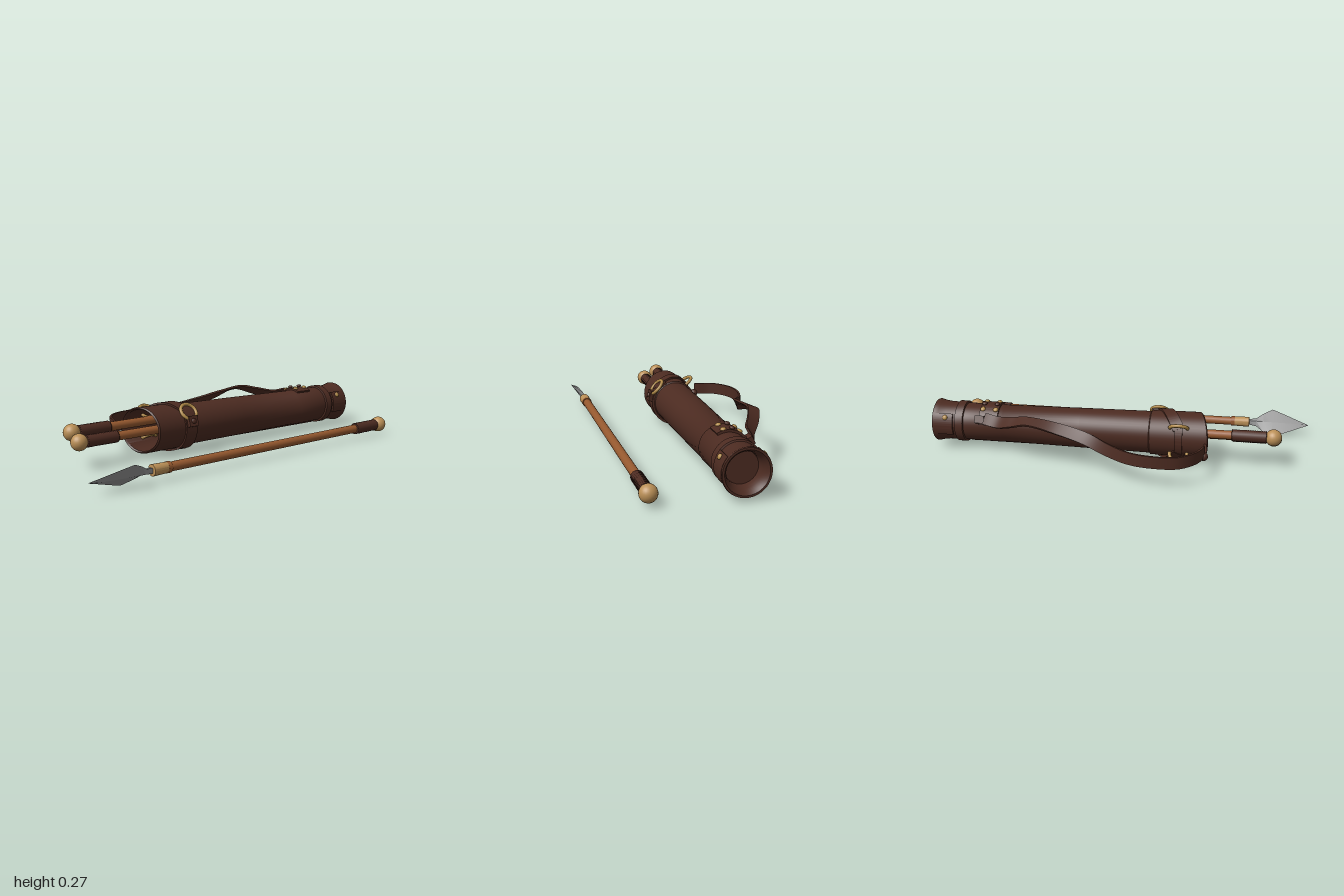
import * as THREE from 'three';
import { toCreasedNormals } from 'three/addons/utils/BufferGeometryUtils.js';

const mat = (name, color, side = THREE.FrontSide) => {
  const m = new THREE.MeshStandardMaterial({ color, side });
  m.name = name;
  return m;
};

export function createModel() {
  const model = new THREE.Group();
  const leather = mat('dark leather', 0x4c2b21, THREE.DoubleSide);
  const wood = mat('shaft wood', 0x96592f);
  const tan = mat('pale wood', 0xba8f56);
  const brass = mat('brass', 0xb18a48);
  const steel = mat('steel', 0x969696, THREE.DoubleSide);
  const V = (x, y, z) => new THREE.Vector3(x, y, z);

  const add = (parent, name, geo, material) => {
    const m = new THREE.Mesh(geo, material);
    m.name = name;
    parent.add(m);
    return m;
  };

  // Turned solid along x from [x, radius] pairs
  const turned = (pts, seg = 32) => new THREE.LatheGeometry(
    pts.map(([x, r]) => new THREE.Vector2(r, x)), seg).rotateZ(-Math.PI / 2);

  // Flat band with a rectangular section; frame(t) gives centre and width direction
  const ribbon = (frame, w, t, n = 40) => {
    const pos = [], idx = [];
    for (let i = 0; i <= n; i++) {
      const { p, side } = frame(i / n);
      const a = frame(Math.max(0, i / n - 0.01)).p, b = frame(Math.min(1, i / n + 0.01)).p;
      const tan3 = b.clone().sub(a).normalize();
      const s = side.clone().addScaledVector(tan3, -side.dot(tan3)).normalize();
      const up = tan3.clone().cross(s);
      for (const [u, v] of [[-1, -1], [1, -1], [1, 1], [-1, 1]]) {
        const q = p.clone().addScaledVector(s, u * w / 2).addScaledVector(up, v * t / 2);
        pos.push(q.x, q.y, q.z);
      }
      if (i < n) for (let k = 0; k < 4; k++) {
        const c = i * 4 + k, d = i * 4 + (k + 1) % 4;
        idx.push(c, d, c + 4, d, d + 4, c + 4);
      }
    }
    const e = n * 4;
    idx.push(0, 2, 1, 0, 3, 2, e, e + 1, e + 2, e, e + 2, e + 3);
    const g = new THREE.BufferGeometry();
    g.setAttribute('position', new THREE.Float32BufferAttribute(pos, 3));
    g.setIndex(idx);
    return toCreasedNormals(g, 0.7);
  };

  // ---- Quiver, axis along x ----
  const quiver = new THREE.Group();
  quiver.name = 'quiver';
  quiver.position.set(0, 0.141, -0.047);
  quiver.rotation.set(0, -0.008, -0.005);
  model.add(quiver);

  // Hollow tube with slanted mouth, cuff, foot band and flared foot
  const tube = turned([
    [0.9, 0], [0.9, 0.085], [-0.3, 0.102], [-0.43, 0.107],
    [-0.437, 0.113], [-0.43, 0.119], [-0.415, 0.118], [-0.17, 0.116], [-0.165, 0.109],
    [0.2, 0.105], [0.62, 0.099], [0.625, 0.102], [0.83, 0.099], [0.832, 0.109], [0.875, 0.109],
    [0.878, 0.101], [0.93, 0.102], [0.97, 0.108], [0.99, 0.114], [0.998, 0.112], [0.998, 0.102],
    [0.985, 0.092], [0.96, 0.083], [0.94, 0.079], [0.92, 0.078], [0.92, 0]], 48);
  const tp = tube.attributes.position;
  for (let i = 0; i < tp.count; i++) {
    const x = tp.getX(i);
    if (x < -0.38) tp.setX(i, x + tp.getZ(i) * 0.3);
  }
  add(quiver, 'quiverBody', toCreasedNormals(tube, 0.6), leather);

  // Bands wrapped on the tube; angle 0 is the top, positive toward the front
  const wrap = (name, xAt, r, a0, a1, w, t = 0.01) => add(quiver, name, ribbon(u => {
    const a = a0 + (a1 - a0) * u;
    return { p: V(xAt(u), r * Math.cos(a), r * Math.sin(a)), side: V(1, 0, 0) };
  }, w, t), leather);
  const onTube = (mesh, x, r, a) => {
    mesh.position.set(x, r * Math.cos(a), r * Math.sin(a));
    mesh.rotation.x = a;
    return mesh;
  };
  wrap('cuffBand', () => -0.2, 0.12, 0.4, 2.9, 0.07, 0.012);
  wrap('upperDiagonalStrap', u => -0.32 + 0.12 * u, 0.122, -1.0, 0.9, 0.06);
  wrap('lowerDiagonalStrap', u => -0.32 + 0.12 * u, 0.122, -2.15, -3.6, 0.06);
  wrap('backLoopBand', () => -0.32, 0.12, -2.2, -0.9, 0.04);
  wrap('strapAnchor', () => 0.69, 0.105, 0.5, -1.35, 0.1, 0.014);
  wrap('footFlap', () => 0.935, 0.109, 0.85, 1.95, 0.1, 0.01);
  wrap('footBackFlap', () => 0.935, 0.109, -1.95, -0.9, 0.1, 0.01);

  // Raised seam along the underside
  add(quiver, 'seam', new THREE.BoxGeometry(0.98, 0.012, 0.02), leather).position.set(0.33, -0.101, 0);

  // Front buckle: flat ring, keeper tab and stud
  const ring = new THREE.TorusGeometry(0.045, 0.009, 10, 32);
  const flatRing = ring.clone().rotateX(Math.PI / 2);
  onTube(add(quiver, 'frontRing', flatRing, brass), -0.2, 0.127, 0.85);
  onTube(add(quiver, 'frontKeeper', new THREE.BoxGeometry(0.055, 0.022, 0.055), leather), -0.2, 0.134, 1.28);
  const stud = new THREE.SphereGeometry(0.014, 16, 8).scale(1, 0.6, 1);
  onTube(add(quiver, 'keeperStud', stud, leather), -0.2, 0.146, 1.28);

  // Standing rings on the back of the cuff
  for (const a of [-0.95, -2.19])
    onTube(add(quiver, 'backRing', ring, brass), -0.32, 0.122, a);

  // Studs on anchor and foot
  for (const x of [0.655, 0.725]) {
    onTube(add(quiver, 'anchorStud', stud, brass), x, 0.114, 0.17);
    onTube(add(quiver, 'anchorStud', stud, brass), x, 0.114, -0.55);
    onTube(add(quiver, 'anchorKnob', stud, leather), x, 0.118, -0.2);
  }
  for (const a of [1.05, -1.1]) onTube(add(quiver, 'footStud', stud, brass), 0.925, 0.116, a);
  onTube(add(quiver, 'anchorLoop', new THREE.BoxGeometry(0.05, 0.025, 0.04), leather), 0.73, 0.12, -1.1);

  // ---- Carrying strap: centre line with a slowly twisting width direction ----
  const path = new THREE.CatmullRomCurve3([
    V(-0.455, 0.135, -0.25), V(-0.42, 0.14, -0.34), V(-0.34, 0.14, -0.41), V(-0.22, 0.142, -0.426),
    V(-0.1, 0.145, -0.405), V(0.02, 0.16, -0.35), V(0.13, 0.19, -0.305), V(0.28, 0.225, -0.285),
    V(0.43, 0.25, -0.277), V(0.53, 0.225, -0.24), V(0.62, 0.2, -0.19), V(0.7, 0.205, -0.162)]);
  const twist = new THREE.CatmullRomCurve3([
    V(0, 1, 0), V(0, 1, 0), V(0, 1, 0), V(0, 1, 0), V(0, 1, 0.05), V(0, 0.95, 0.2),
    V(0, 0.8, 0.45), V(0, 0.6, 0.7), V(0, 0.35, 0.95), V(0, 0.5, 0.8), V(0, 0.7, 0.6), V(0, 0.85, 0.5)]);
  add(model, 'carryingStrap', ribbon(t => ({ p: path.getPoint(t), side: twist.getPoint(t) }),
    0.062, 0.011, 80), leather);
  add(model, 'strapKnob', new THREE.SphereGeometry(0.022, 16, 12), leather).position.set(-0.455, 0.11, -0.247);
  add(model, 'strapCord', new THREE.TubeGeometry(new THREE.CatmullRomCurve3([
    V(-0.455, 0.11, -0.247), V(-0.463, 0.125, -0.21), V(-0.455, 0.14, -0.16)]), 12, 0.007, 8), leather);

  // ---- Shafts: wooden rod, leather grip with coils, ball end at local x = 0 ----
  const coils = [[0.035, 0]];
  for (let i = 0; i <= 40; i++) coils.push([0.035 + 0.175 * i / 40, i % 2 ? 0.031 : 0.029]);
  coils.push([0.21, 0]);
  const shaft = (name, length) => {
    const g = new THREE.Group();
    g.name = name;
    add(g, 'rod', turned([[0.02, 0], [0.02, 0.0225], [length, 0.0225], [length, 0]], 20), wood);
    add(g, 'grip', turned(coils, 20), leather);
    add(g, 'ballEnd', new THREE.SphereGeometry(0.042, 24, 16), tan);
    model.add(g);
    return g;
  };
  shaft('upperStoredSpear', 1.5).position.set(-0.795, 0.175, -0.105);
  shaft('lowerStoredSpear', 1.5).position.set(-0.8, 0.14, -0.03);

  // Loose spear in front, ball end at +x
  const spear = shaft('looseSpear', 1.55);
  spear.position.set(0.928, 0.063, 0.372);
  spear.rotation.y = Math.PI;
  add(spear, 'ferrule', toCreasedNormals(turned([[1.52, 0], [1.52, 0.026], [1.6, 0.028], [1.605, 0]], 20), 0.6), tan);
  add(spear, 'ferruleRing', toCreasedNormals(turned([[1.5, 0], [1.5, 0.027], [1.52, 0.027], [1.52, 0]], 20), 0.6), wood);

  // Blade: diamond sections [x, half width, half thickness], turned 45 degrees
  const sections = [[1.6, 0.017, 0.017], [1.64, 0.024, 0.015], [1.68, 0.055, 0.014], [1.73, 0.084, 0.013],
    [1.79, 0.06, 0.011], [1.86, 0.03, 0.008], [1.928, 0.001, 0.001]];
  const bp = [], bi = [];
  sections.forEach(([x, w, t], i) => {
    bp.push(x, 0, w, x, t, 0, x, 0, -w, x, -t, 0);
    if (i) for (let k = 0; k < 4; k++) {
      const a = (i - 1) * 4 + k, b = (i - 1) * 4 + (k + 1) % 4;
      bi.push(a, a + 4, b, b, a + 4, b + 4);
    }
  });
  const blade = new THREE.BufferGeometry();
  blade.setAttribute('position', new THREE.Float32BufferAttribute(bp, 3));
  blade.setIndex(bi);
  add(spear, 'blade', toCreasedNormals(blade, 0.2), steel).rotation.x = Math.PI / 4;

  return model;
}
